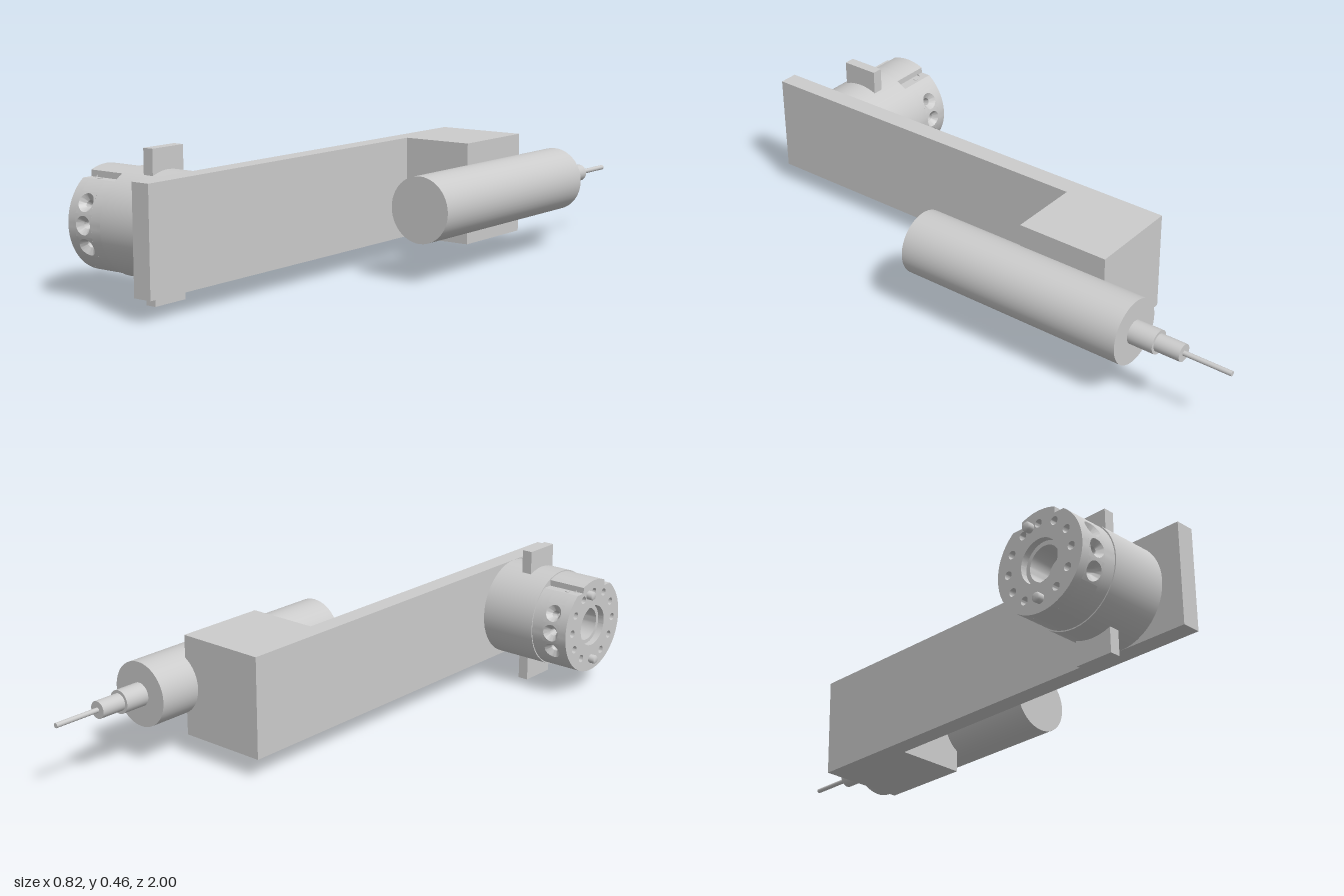
import * as THREE from 'three';
import { toCreasedNormals } from 'three/addons/utils/BufferGeometryUtils.js';

const grey = new THREE.MeshStandardMaterial({ color: 0xcccccc });
const greyBoth = new THREE.MeshStandardMaterial({ color: 0xcccccc, side: THREE.DoubleSide });
const rad = THREE.MathUtils.degToRad;
const R = 0.161, BORE = 0.07; // tool changer radii
const SIDE = 36.9; // half angle of the drilled side zones, degrees

function add(parent, name, geometry, material = grey) {
  const mesh = new THREE.Mesh(geometry, material);
  mesh.name = name;
  parent.add(mesh);
  return mesh;
}

function box(parent, name, [x0, x1], [y0, y1], [z0, z1]) {
  const mesh = add(parent, name, new THREE.BoxGeometry(x1 - x0, y1 - y0, z1 - z0));
  mesh.position.set((x0 + x1) / 2, (y0 + y1) / 2, (z0 + z1) / 2);
}

// Cylinder along z between two depths
function rod(parent, name, r, z0, z1, x = 0, y = 0, sides = 48) {
  const geometry = new THREE.CylinderGeometry(r, r, z1 - z0, sides).rotateX(Math.PI / 2);
  add(parent, name, geometry).position.set(x, y, (z0 + z1) / 2);
}

function arc(a0, a1, r = R) {
  const n = Math.ceil(Math.abs(a1 - a0) / 5);
  return Array.from({ length: n + 1 }, (_, i) => {
    const a = rad(a0 + ((a1 - a0) * i) / n);
    return new THREE.Vector2(Math.cos(a) * r, Math.sin(a) * r);
  });
}

// Upper rim with a raised key between two flats
function keyedRim(start) {
  const v = (x, y) => new THREE.Vector2(x, y);
  return [
    ...arc(start, 53), v(0.063, 0.1285), ...arc(67, 113), v(-0.063, 0.1285), ...arc(127, 180 - start),
  ];
}

function slab(parent, name, shape, z0, z1) {
  const geometry = new THREE.ExtrudeGeometry(shape, { depth: z1 - z0, bevelEnabled: false, curveSegments: 20 });
  add(parent, name, toCreasedNormals(geometry, 0.4)).position.z = z0;
}

function circleHole(x, y, r) {
  return new THREE.Path().absarc(x, y, r, 0, Math.PI * 2, true);
}

// Patch of cylinder wall with a countersunk radial hole, built from nested loops
function drilledPatch(angle, halfAngle, halfWidth) {
  const n = 32, positions = [], index = [];
  const loops = [[0, 0, 1], [0.029, 0, 0.5], [0.029, 0, 0], [0.014, 0.018, 0], [0.014, 0.05, 0], [0.0001, 0.05, 0]];
  loops.forEach(([radius, depth, square], j) => {
    for (let i = 0; i < n; i++) {
      const a = (i / n) * Math.PI * 2, c = Math.cos(a), s = Math.sin(a);
      const m = Math.max(Math.abs(c), Math.abs(s));
      const theta = angle + (1 - square) * (c * radius) / R + square * (c / m) * halfAngle;
      const z = (1 - square) * s * radius + square * (s / m) * halfWidth;
      positions.push(Math.cos(theta) * (R - depth), Math.sin(theta) * (R - depth), z);
      if (j) {
        const k = (i + 1) % n, o = (j - 1) * n, p = j * n;
        index.push(o + i, o + k, p + i, o + k, p + k, p + i);
      }
    }
  });
  const geometry = new THREE.BufferGeometry();
  geometry.setAttribute('position', new THREE.Float32BufferAttribute(positions, 3));
  geometry.setIndex(index);
  return toCreasedNormals(geometry, 0.5);
}

// Tool changer, built along local z with its face at z = 0
function createChanger() {
  const g = new THREE.Group();
  g.name = 'toolChanger';
  const z1 = 0.028, z2 = 0.094, z3 = 0.135;

  // Front and back plates
  const outline = [...keyedRim(SIDE), ...arc(180 - SIDE, 360 + SIDE).slice(1, -1)];
  const face = new THREE.Shape(outline), back = new THREE.Shape(outline);
  face.holes.push(circleHole(0, 0, BORE));
  for (let i = 0; i < 12; i++) {
    if (i === 9) continue; // a pin sits here
    const a = rad(i * 30);
    face.holes.push(circleHole(Math.cos(a) * 0.12, Math.sin(a) * 0.12, 0.013));
  }
  back.holes.push(circleHole(0, 0, BORE));
  slab(g, 'facePlate', face, 0, z1);
  slab(g, 'backPlate', back, z2, z3);
  add(g, 'boltHoleFloor', new THREE.RingGeometry(BORE, 0.15, 48), greyBoth).position.z = z1 - 0.001;

  // Middle layer: solid top and bottom, drilled sides
  slab(g, 'upperSector', new THREE.Shape([...keyedRim(SIDE), ...arc(180 - SIDE, SIDE, BORE)]), z1, z2);
  slab(g, 'lowerSector',
    new THREE.Shape([...arc(180 + SIDE, 360 - SIDE), ...arc(360 - SIDE, 180 + SIDE, BORE)]), z1, z2);
  for (const side of [0, 180]) {
    for (const i of [-1, 0, 1]) {
      const patch = drilledPatch(rad(side + (i * SIDE * 2) / 3), rad(SIDE / 3), (z2 - z1) / 2);
      add(g, 'portWall', patch).position.z = (z1 + z2) / 2;
    }
  }

  // Stepped central bore
  const bore = [[BORE, 0], [BORE, 0.022], [0.056, 0.022], [0.056, 0.1], [0, 0.1]].map((p) => new THREE.Vector2(...p));
  const boreGeometry = toCreasedNormals(new THREE.LatheGeometry(bore, 48).rotateX(Math.PI / 2), 0.5);
  add(g, 'centralBore', boreGeometry, greyBoth);

  // Locating pins with rounded heads
  const pin = [[0, -0.022], [0.011, -0.022], [0.015, -0.017], [0.015, 0.004]].map((p) => new THREE.Vector2(...p));
  for (const a of [rad(75), rad(270)]) {
    const geometry = new THREE.LatheGeometry(pin, 20).rotateX(Math.PI / 2);
    add(g, 'locatingPin', geometry, greyBoth).position.set(Math.cos(a) * 0.12, Math.sin(a) * 0.12, 0);
  }

  // Set screws on the flats
  for (const x of [-0.08, 0.08]) {
    add(g, 'setScrew', new THREE.CylinderGeometry(0.008, 0.008, 0.004, 16)).position.set(x, 0.1285, 0.053);
  }

  rod(g, 'changerBody', 0.165, z3, 0.335);
  return g;
}

export function createModel() {
  const model = new THREE.Group();
  model.name = 'robotToolArm';
  const yRange = [0.068, 0.398], yMid = 0.233;

  // Bracket
  box(model, 'armPlate', [-0.053, 0.01], yRange, [-0.525, 1]);
  box(model, 'mountBlock', [0.01, 0.25], yRange, [-0.525, -0.215]);

  // Spindle with stepped nose and thin bit
  const spindle = new THREE.Group();
  spindle.name = 'spindle';
  spindle.position.set(0.302, yMid, 0);
  rod(spindle, 'spindleBody', 0.105, -0.67, 0.125);
  rod(spindle, 'collar', 0.038, -0.755, -0.67, 0, 0, 32);
  rod(spindle, 'collet', 0.028, -0.84, -0.755, 0, 0, 32);
  rod(spindle, 'bit', 0.008, -1, -0.84, 0, 0, 16);
  model.add(spindle);

  // Tool changer on the right side of the plate
  const changer = createChanger();
  changer.position.set(-0.388, yMid, 0.767);
  changer.rotation.y = Math.PI / 2;
  model.add(changer);

  // Tabs above and below the changer
  box(model, 'upperTab', [-0.172, -0.136], [0.384, 0.464], [0.703, 0.831]);
  box(model, 'lowerTab', [-0.172, -0.136], [0, 0.082], [0.703, 0.831]);
  return model;
}
